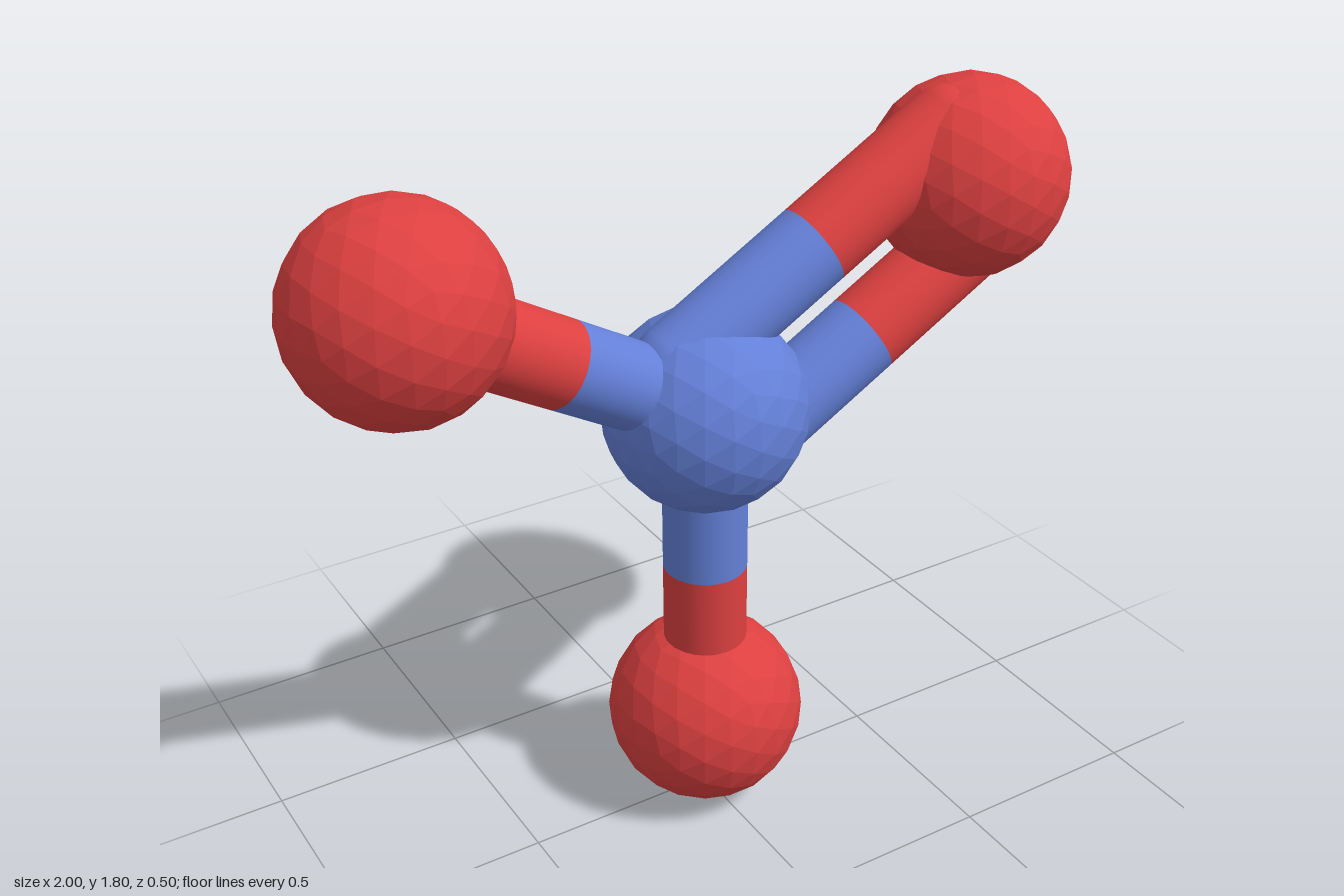
import * as THREE from 'three';

const ATOM_R = 0.25, BOND_R = 0.105, BOND_LENGTH = 0.866, DOUBLE_OFFSET = 0.155;
const blue = new THREE.MeshStandardMaterial({ color: 0x6480d8, flatShading: true });
const red = new THREE.MeshStandardMaterial({ color: 0xdd4040, flatShading: true });
const blueTube = new THREE.MeshStandardMaterial({ color: 0x6480d8 });
const redTube = new THREE.MeshStandardMaterial({ color: 0xdd4040 });

// Faceted ball
function atom(name, position, material) {
  const mesh = new THREE.Mesh(new THREE.IcosahedronGeometry(ATOM_R, 3), material);
  mesh.name = name;
  mesh.position.copy(position);
  return mesh;
}

// Half of a bond: rounded end inside the ball, straight up to the bond's middle
function halfBondGeometry() {
  const profile = [];
  for (let i = 0; i <= 8; i++) {
    const a = (i / 8) * Math.PI / 2;
    profile.push(new THREE.Vector2(BOND_R * Math.sin(a), -BOND_R * Math.cos(a)));
  }
  profile.push(new THREE.Vector2(BOND_R, BOND_LENGTH / 2));
  return new THREE.LatheGeometry(profile, 32);
}

// Two-coloured bond between two balls, shifted sideways by an offset
function bond(name, from, to, offset) {
  const group = new THREE.Group();
  group.name = name;
  const geometry = halfBondGeometry();
  const up = new THREE.Vector3(0, 1, 0);
  const dir = to.clone().sub(from).normalize();
  const side = new THREE.Vector3(-dir.y, dir.x, 0).multiplyScalar(offset);
  const halves = [['innerHalf', from, dir, blueTube], ['outerHalf', to, dir.clone().negate(), redTube]];
  for (const [label, start, direction, material] of halves) {
    const mesh = new THREE.Mesh(geometry, material);
    mesh.name = label;
    mesh.position.copy(start).add(side);
    mesh.quaternion.setFromUnitVectors(up, direction);
    group.add(mesh);
  }
  return group;
}

export function createModel() {
  const model = new THREE.Group();
  model.name = 'molecule';

  // Central ball with three outer balls 120 degrees apart
  const centre = new THREE.Vector3(0, ATOM_R + BOND_LENGTH, 0);
  model.add(atom('centralAtom', centre, blue));
  const arms = [
    ['lower', -90, [0]],
    ['upperRight', 150, [0]],
    ['upperLeft', 30, [-DOUBLE_OFFSET, DOUBLE_OFFSET]],
  ];
  for (const [name, degrees, offsets] of arms) {
    const a = THREE.MathUtils.degToRad(degrees);
    const end = new THREE.Vector3(Math.cos(a), Math.sin(a), 0).multiplyScalar(BOND_LENGTH).add(centre);
    model.add(atom(name + 'Atom', end, red));
    offsets.forEach((offset, i) => model.add(bond(`${name}Bond${i + 1}`, centre, end, offset)));
  }
  return model;
}
